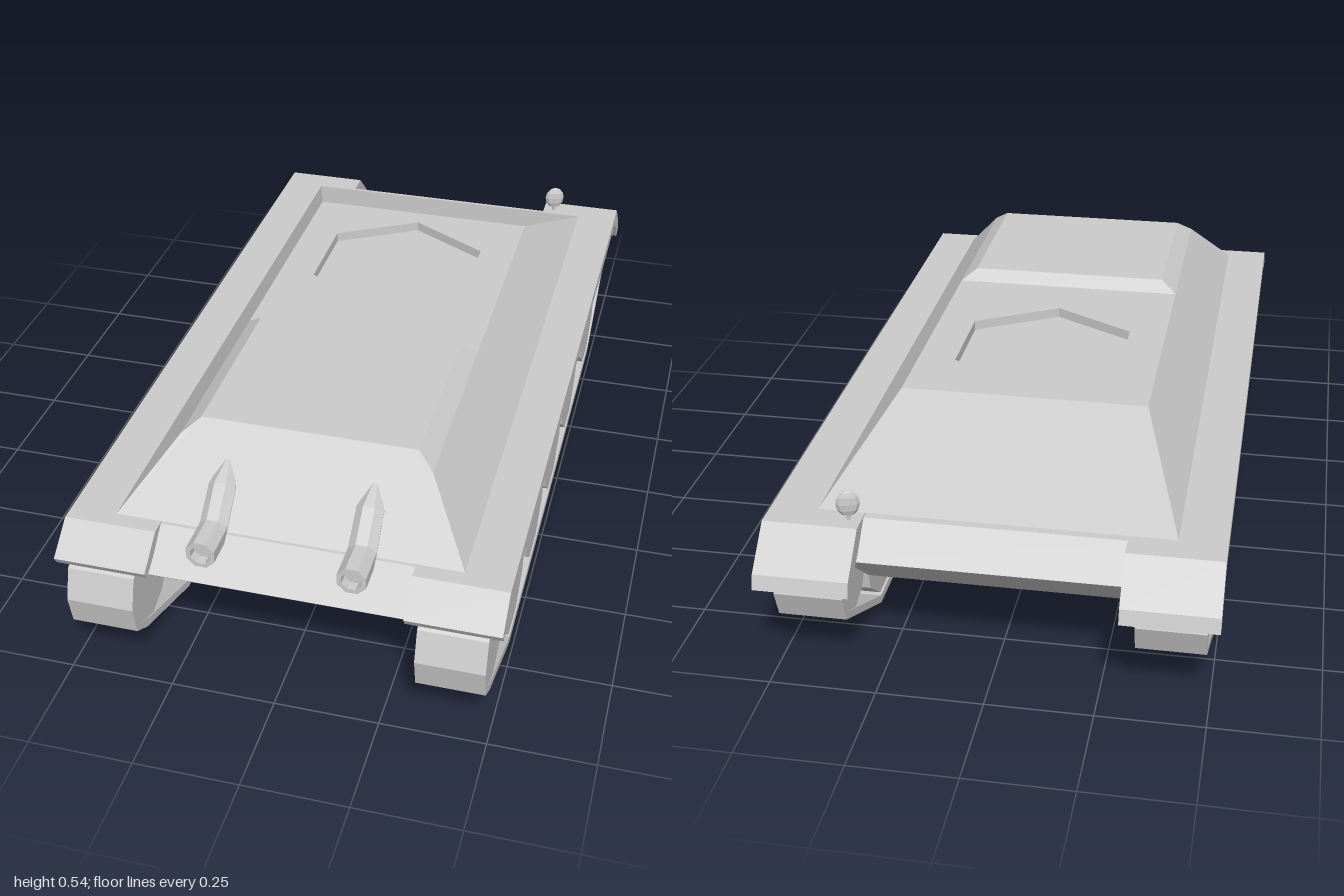
import * as THREE from 'three';

const mat = new THREE.MeshStandardMaterial({ color: 0xcccccc, flatShading: true, side: THREE.DoubleSide });

function add(parent, geometry, name) {
  const mesh = new THREE.Mesh(geometry, mat);
  mesh.name = name;
  parent.add(mesh);
  return mesh;
}

// Side profile given as [z, y], extruded from x0 to x1
function sideExtrude(points, x0, x1, hole) {
  const toV = (p) => new THREE.Vector2(p[0], p[1]);
  const shape = new THREE.Shape(points.map(toV));
  if (hole) shape.holes.push(new THREE.Path(hole.map(toV)));
  const g = new THREE.ExtrudeGeometry(shape, { depth: x1 - x0, bevelEnabled: false });
  return g.rotateY(-Math.PI / 2).translate(x1, 0, 0);
}

// Flat polygons, counter-clockwise from outside
function plates(polys) {
  const pos = [];
  for (const p of polys)
    for (let i = 1; i < p.length - 1; i++) pos.push(...p[0], ...p[i], ...p[i + 1]);
  const g = new THREE.BufferGeometry();
  g.setAttribute('position', new THREE.Float32BufferAttribute(pos, 3));
  g.computeVertexNormals();
  return g;
}

const mirror = (poly) => poly.map(([x, y, z]) => [-x, y, z]).reverse();

// Octagonal tube through sections [z, y, radius, tilt]
function loft(sections, x, sides = 8) {
  const ring = ([z, y, r, tilt]) => Array.from({ length: sides }, (_, i) => {
    const a = ((i + 0.5) / sides) * Math.PI * 2;
    const v = Math.sin(a) * r;
    return [x + Math.cos(a) * r, y + v * Math.cos(tilt), z + v * Math.sin(tilt)];
  });
  const rings = sections.map(ring);
  const polys = [rings[0], [...rings[rings.length - 1]].reverse()];
  for (let k = 0; k < rings.length - 1; k++)
    for (let i = 0; i < sides; i++) {
      const j = (i + 1) % sides;
      polys.push([rings[k][j], rings[k][i], rings[k + 1][i], rings[k + 1][j]]);
    }
  return plates(polys);
}

function buildHull(root) {
  const hull = new THREE.Group();
  hull.name = 'hull';
  root.add(hull);

  // Lower tub with sloped nose and tail
  add(hull, sideExtrude([[0.955, 0.29], [0.865, 0.367], [-0.845, 0.367],
    [-0.92, 0.295], [-0.74, 0.14], [0.8, 0.14]], -0.33, 0.33), 'lowerHull');

  // Sloped upper armour
  const side = [[0.41, 0.37, 0.86], [0.41, 0.37, -0.83], [0.3, 0.51, -0.475], [0.3, 0.51, 0.705]];
  const chamfer = [[0.3, 0.51, 0.705], [0.3, 0.51, 0.2], [0.26, 0.54, 0.225], [0.26, 0.54, 0.67]];
  const glacis = [[-0.41, 0.37, 0.86], [0.41, 0.37, 0.86], [0.3, 0.51, 0.705],
    [0.26, 0.54, 0.67], [-0.26, 0.54, 0.67], [-0.3, 0.51, 0.705]];
  const frontDeck = [[-0.26, 0.54, 0.67], [0.26, 0.54, 0.67], [0.26, 0.54, 0.225], [-0.26, 0.54, 0.225]];
  const step = [[-0.26, 0.54, 0.225], [0.26, 0.54, 0.225], [0.3, 0.51, 0.2], [-0.3, 0.51, 0.2]];
  const rear = [[-0.3, 0.51, -0.475], [0.3, 0.51, -0.475], [0.41, 0.37, -0.83], [-0.41, 0.37, -0.83]];
  add(hull, plates([side, mirror(side), chamfer, mirror(chamfer), glacis, frontDeck, step, rear]), 'upperHull');

  // Rear deck with hexagonal opening
  const R = 0.238, zc = -0.183, depth = 0.025;
  const deck = new THREE.Shape([[-0.3, -0.2], [0.3, -0.2], [0.3, 0.475], [-0.3, 0.475]]
    .map((p) => new THREE.Vector2(...p)));
  deck.holes.push(new THREE.Path(Array.from({ length: 6 }, (_, i) => {
    const a = (i / 6) * Math.PI * 2;
    return new THREE.Vector2(R * Math.sin(a), -zc + R * Math.cos(a));
  })));
  add(hull, new THREE.ShapeGeometry(deck).rotateX(-Math.PI / 2).translate(0, 0.51, 0), 'rearDeck');
  add(hull, new THREE.CylinderGeometry(R, R, depth, 6, 1, true)
    .translate(0, 0.51 - depth / 2, zc), 'openingWall');
  add(hull, new THREE.CircleGeometry(R, 6, Math.PI / 2).rotateX(-Math.PI / 2)
    .translate(0, 0.51 - depth, zc), 'openingFloor');
}

function buildRunningGear(root, s) {
  const gear = new THREE.Group();
  gear.name = s > 0 ? 'leftRunningGear' : 'rightRunningGear';
  root.add(gear);
  const span = (a, b) => (s > 0 ? [a, b] : [-b, -a]);

  // Fender with bent ends
  add(gear, sideExtrude([[0.9, 0.37], [0.98, 0.31], [0.968, 0.29], [0.89, 0.337],
    [-0.86, 0.337], [-0.94, 0.285], [-0.965, 0.245], [-1.0, 0.25], [-0.99, 0.285], [-0.9, 0.37]],
  ...span(0.3, 0.52)), 'fender');

  // Track band
  const outer = [[0.67, 0], [0.93, 0.1], [0.985, 0.135], [1.0, 0.21], [0.975, 0.285], [0.91, 0.328],
    [0.8, 0.315], [-0.8, 0.315], [-0.86, 0.325], [-0.92, 0.29], [-0.95, 0.21], [-0.925, 0.14], [-0.65, 0]];
  const inner = [[0.67, 0.02], [0.92, 0.118], [0.967, 0.145], [0.98, 0.21], [0.96, 0.275], [0.905, 0.308],
    [0.8, 0.296], [-0.8, 0.296], [-0.855, 0.305], [-0.905, 0.278], [-0.93, 0.21], [-0.91, 0.153], [-0.65, 0.02]];
  add(gear, sideExtrude(outer, ...span(0.33, 0.49), inner), 'track');

  // Wheels: five road wheels, front idler, rear sprocket
  const wheel = (z, y, r, n, name) => {
    const g = new THREE.CylinderGeometry(r, r, 0.155, n).rotateZ(Math.PI / 2);
    // turn so that one corner points straight down
    g.rotateX(-Math.PI / 2);
    add(gear, g.translate(s * 0.41, y, z), name);
  };
  [0.62, 0.33, 0.04, -0.25, -0.6].forEach((z, i) => wheel(z, 0.162, 0.142, 9, 'roadWheel' + (i + 1)));
  wheel(0.885, 0.212, 0.106, 10, 'frontIdler');
  wheel(-0.845, 0.215, 0.094, 10, 'rearSprocket');

  // Nose tube bent up along the front plate
  add(root, loft([[0.925, 0.367, 0.024, 0], [0.948, 0.367, 0.025, 0], [0.948, 0.367, 0.036, 0],
    [0.85, 0.367, 0.036, 0.35], [0.775, 0.432, 0.035, 0.7], [0.73, 0.472, 0.012, 0.7]], s * 0.175), 'frontTube');
}

export function createModel() {
  const root = new THREE.Group();
  root.name = 'trackedHull';
  buildHull(root);
  for (const s of [1, -1]) buildRunningGear(root, s);

  // Small lamp on the rear left fender
  const lamp = new THREE.Group();
  lamp.name = 'rearLamp';
  lamp.position.set(0.33, 0.365, -0.86);
  lamp.rotation.y = 0.3;
  add(lamp, new THREE.CylinderGeometry(0.006, 0.006, 0.04, 6).translate(0, 0.02, 0), 'lampPost');
  add(lamp, new THREE.SphereGeometry(1, 8, 6).scale(0.028, 0.033, 0.011).translate(0, 0.045, 0), 'lampHead');
  root.add(lamp);
  return root;
}
